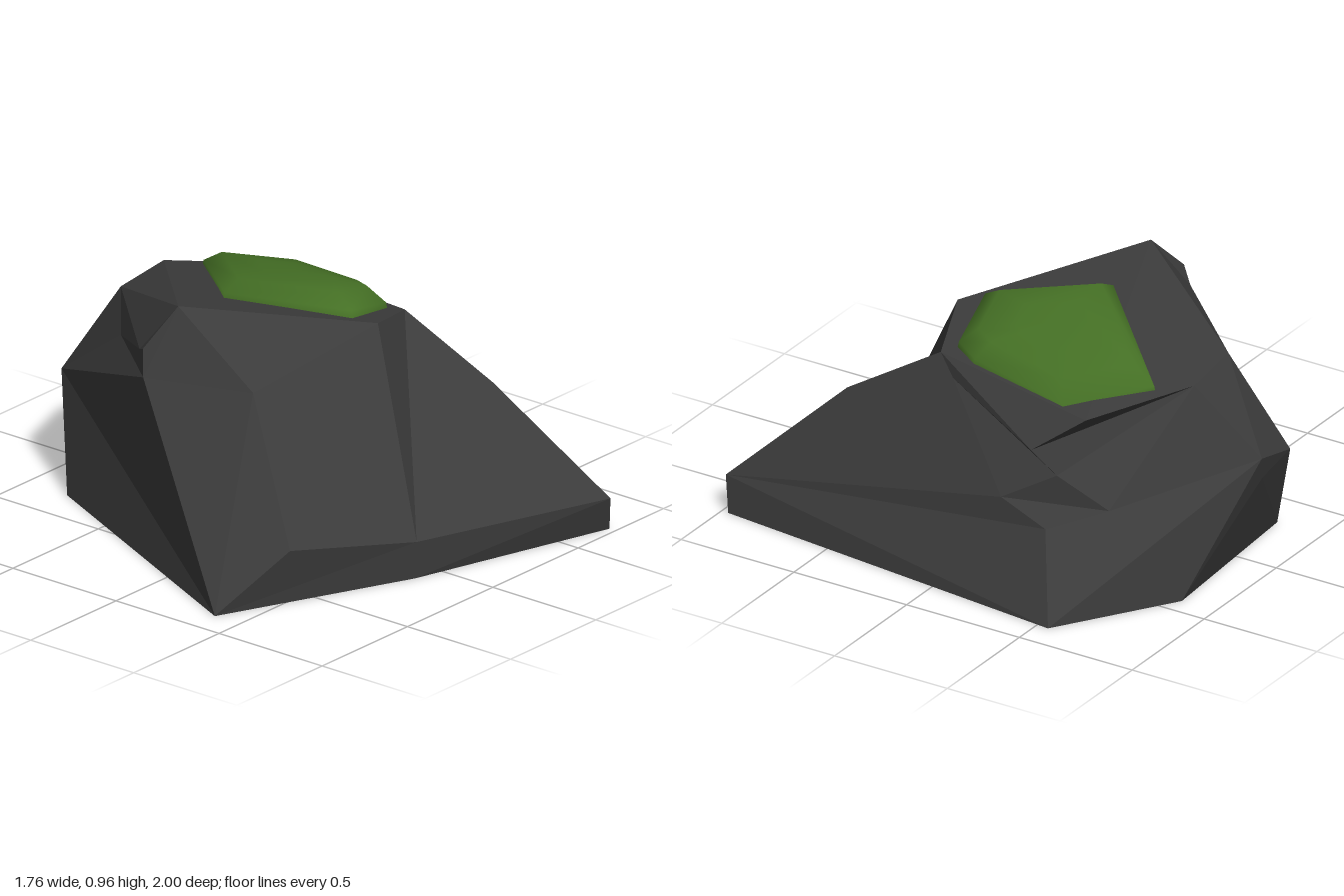
import * as THREE from 'three';

const rockGrey = new THREE.MeshStandardMaterial({ color: 0x3b3b3b });
rockGrey.name = 'rock grey';
rockGrey.flatShading = true;
const mossGreen = new THREE.MeshStandardMaterial({ color: 0x457025 });
mossGreen.name = 'moss green';

// Corners of the boulder
const P = {
  // base
  b0: [-0.88, 0, 0.38], b1: [-0.12, 0, 0.72], b2: [0.72, 0, 0.97],
  b3: [0.88, 0, -0.55], b4: [0.42, 0, -0.85], b5: [-0.32, 0, -0.8],
  // top of the front foot, front shoulder
  f0: [-0.62, 0.22, 0.53], f1: [-0.12, 0.15, 0.73], f2: [0.69, 0.14, 1.0],
  f3: [0.52, 0.55, 0.57], g: [-0.45, 0.72, 0.21],
  // sloping top
  peak: [-0.43, 0.965, -0.17], t1: [0.16, 0.835, 0.31], t2: [0.45, 0.77, 0.2],
  t3: [0.57, 0.73, -0.52], t4: [0.21, 0.79, -0.77],
  // left and back
  l0: [-0.565, 0.82, -0.23], l1: [-0.575, 0.71, -0.22], d: [-0.5, 0.78, -0.3],
  c: [-0.09, 0.79, -0.73], e: [-0.27, 0.69, -0.58], h: [-0.16, 0.42, -0.96],
  k: [0.1, 0.5, -1.0], k2: [0.05, 0.39, -0.97],
  // right side with its notch
  q: [0.49, 0.7, 0.12], p1: [0.67, 0.6, -0.34], p2: [0.63, 0.5, -0.43],
  n1: [0.69, 0.38, -0.22], n2: [0.71, 0.31, -0.43], n3: [0.58, 0.385, -0.63],
};

// Facets, each a fan from its first corner
const facets = [
  'b0 b1 b2 b3 b4 b5',
  'b0 b1 f1 f0', 'b1 b2 f2 f1',
  'f0 f1 t1 g', 'f1 f2 f3 t2 t1',
  'g t1 peak', 'b0 f0 g l1', 'l1 g peak l0',
  'peak t1 t2 t3 t4',
  'f2 b2 b3 n2 n1 f3', 't2 f3 q', 't2 q p1 t3', 'q f3 n1 p2 p1',
  'n1 n3 p2', 'n1 n2 n3',
  't4 t3 p1 p2 n3 k', 'k n3 n2 b3 b4',
  'k k2 b4', 'k2 b4 b5', 'k2 b5 h', 'k k2 h', 'k h c t4',
  'peak t4 c d', 'peak d l0', 'd l0 l1', 'd l1 e', 'c d e', 'c e h',
  'h b5 b0', 'h b0 l1 e',
];

function createRock() {
  const core = new THREE.Vector3(0.1, 0.4, -0.1);
  const positions = [];
  for (const facet of facets) {
    const v = facet.split(' ').map((n) => new THREE.Vector3(...P[n]));
    for (let i = 1; i < v.length - 1; i++) {
      const tri = new THREE.Triangle(v[0], v[i], v[i + 1]);
      const normal = tri.getNormal(new THREE.Vector3());
      const out = tri.getMidpoint(new THREE.Vector3()).sub(core);
      // turn every facet outward
      const order = normal.dot(out) < 0 ? [tri.a, tri.c, tri.b] : [tri.a, tri.b, tri.c];
      order.forEach((p) => positions.push(p.x, p.y, p.z));
    }
  }
  const geo = new THREE.BufferGeometry();
  geo.setAttribute('position', new THREE.Float32BufferAttribute(positions, 3));
  geo.computeVertexNormals();
  return new THREE.Mesh(geo, rockGrey);
}

// Low smooth dome on the sloping top: rings of the outline, shrinking and rising
function createMoss() {
  const outline = [[-0.13, -0.2], [0.12, 0.22], [0.4, 0.16], [0.46, 0.05], [0.54, -0.4], [0.3, -0.66]];
  const rings = [[1, -0.02], [0.98, 0.015], [0.78, 0.07], [0.4, 0.085]];
  const [cx, cz] = [0.24, -0.17];
  const n = outline.length;
  const positions = [];
  const index = [];
  const add = (x, z, lift) => positions.push(x, 0.877 - 0.24 * x + 0.04 * z + lift, z);
  for (const [s, lift] of rings) {
    for (const [x, z] of outline) add(cx + (x - cx) * s, cz + (z - cz) * s, lift);
  }
  add(cx, cz, 0.09);
  for (let r = 0; r < rings.length; r++) {
    for (let i = 0; i < n; i++) {
      const a = r * n + i;
      const b = r * n + ((i + 1) % n);
      if (r === rings.length - 1) index.push(a, b, rings.length * n);
      else index.push(a, b, b + n, a, b + n, a + n);
    }
  }
  const geo = new THREE.BufferGeometry();
  geo.setAttribute('position', new THREE.Float32BufferAttribute(positions, 3));
  geo.setIndex(index);
  geo.computeVertexNormals();
  return new THREE.Mesh(geo, mossGreen);
}

export function createModel() {
  const group = new THREE.Group();
  group.name = 'mossyRock';
  const rock = createRock();
  rock.name = 'rock';
  const moss = createMoss();
  moss.name = 'mossPatch';
  group.add(rock, moss);
  return group;
}
